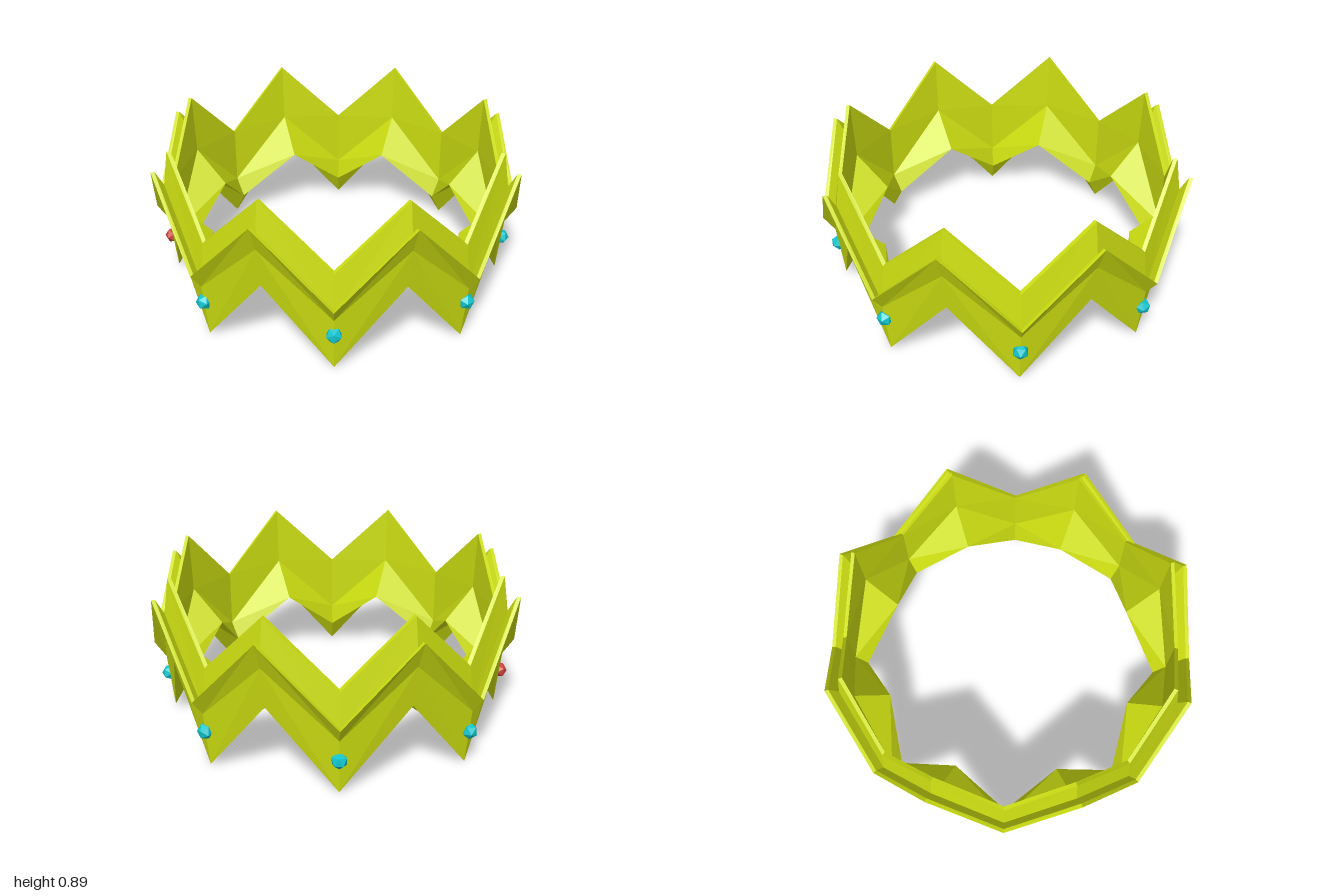
import * as THREE from 'three';

// Band cross-section, counter-clockwise from the bottom edge: [radius, y]
// at a valley and at a peak of the zigzag.
const VALLEY = [
  [0.91, 0.0],    // bottom edge
  [0.94, 0.30],   // start of the outer flare
  [1.0, 0.385],   // outer rim
  [0.98, 0.39],
  [0.938, 0.33],  // groove
  [0.91, 0.54],   // inner rim
  [0.89, 0.55],
  [0.893, 0.23],  // foot of the inner wall
  [0.835, 0.13],  // inner ledge
];
const PEAK = [
  [0.91, 0.43], [0.945, 0.65], [1.0, 0.79], [0.98, 0.79], [0.938, 0.71],
  [0.91, 0.89], [0.89, 0.89], [0.88, 0.57], [0.705, 0.385],
];
const STATIONS = 16;

// Loft the closed section round the ring, alternating valley and peak
function bandGeometry() {
  const n = VALLEY.length;
  const positions = [];
  const index = [];
  for (let i = 0; i < STATIONS; i++) {
    const angle = (i / STATIONS) * Math.PI * 2;
    for (const [r, y] of i % 2 ? PEAK : VALLEY) {
      positions.push(r * Math.sin(angle), y, r * Math.cos(angle));
    }
  }
  for (let i = 0; i < STATIONS; i++) {
    const next = (i + 1) % STATIONS;
    for (let j = 0; j < n; j++) {
      const k = (j + 1) % n;
      const a = i * n + j, b = next * n + j, c = next * n + k, d = i * n + k;
      // Mirror the diagonals from one side of each valley to the other
      if (i % 2) index.push(a, b, d, b, c, d);
      else index.push(a, b, c, a, c, d);
    }
  }
  const geometry = new THREE.BufferGeometry();
  geometry.setAttribute('position', new THREE.Float32BufferAttribute(positions, 3));
  geometry.setIndex(index);
  const flat = geometry.toNonIndexed();
  flat.computeVertexNormals();
  return flat;
}

export function createModel() {
  const model = new THREE.Group();
  model.name = 'zigzagCrown';

  const gold = new THREE.MeshStandardMaterial({ color: 0xccdd11, flatShading: true });
  const teal = new THREE.MeshStandardMaterial({ color: 0x11c4cc, flatShading: true });
  const red = new THREE.MeshStandardMaterial({ color: 0xcc4440, flatShading: true });

  const band = new THREE.Mesh(bandGeometry(), gold);
  band.name = 'zigzagBand';
  model.add(band);

  // One faceted gem set in the wall below each valley; a single red one at -x
  const gemGeometry = new THREE.IcosahedronGeometry(0.043, 0);
  const gemHeights = [0.21, 0.22, 0.2, 0.2, 0.19, 0.185, 0.195, 0.205];
  gemHeights.forEach((y, i) => {
    const angle = (i / 8) * Math.PI * 2;
    const gem = new THREE.Mesh(gemGeometry, i === 6 ? red : teal);
    gem.name = i === 6 ? 'redGem' : 'tealGem';
    gem.position.set(0.93 * Math.sin(angle), y, 0.93 * Math.cos(angle));
    gem.rotation.set(i * 1.3, i * 2.1, i * 0.7);
    model.add(gem);
  });

  return model;
}
